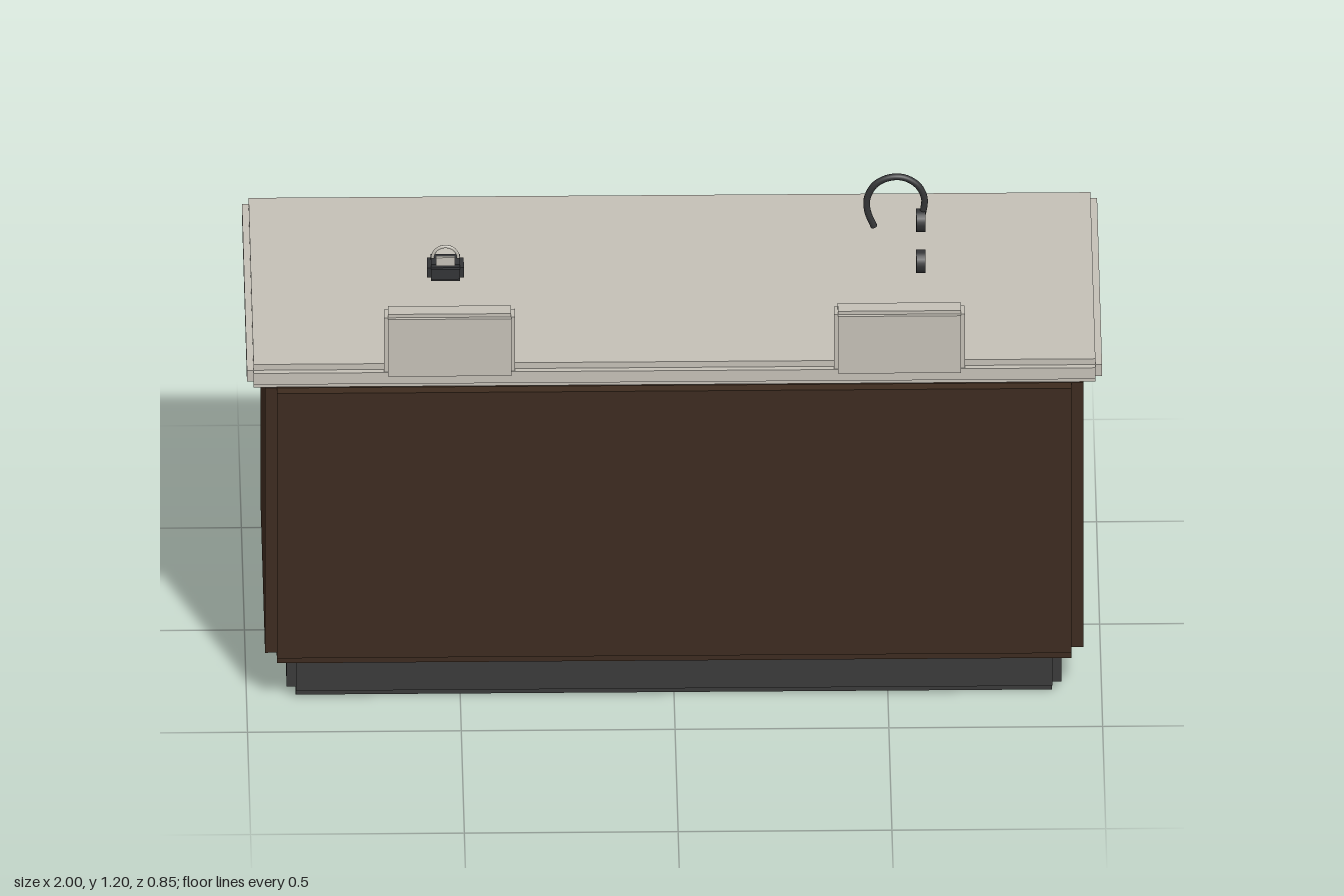
import * as THREE from 'three';

const mat = (name, color) => {
  const m = new THREE.MeshStandardMaterial({ color });
  m.name = name;
  return m;
};

export function createModel() {
  const stone = mat('stone', 0xc4c0b6);
  const wood = mat('darkWood', 0x3d2b1f);
  const plinth = mat('charcoalPlinth', 0x3a3a3a);
  const metal = mat('blackMetal', 0x333436);
  const model = new THREE.Group();
  model.name = 'kitchenIsland';

  const add = (name, geometry, material, x, y, z, parent = model) => {
    const mesh = new THREE.Mesh(geometry, material);
    mesh.name = name;
    mesh.position.set(x, y, z);
    parent.add(mesh);
    return mesh;
  };

  // Block with notched edges: three crossing boxes, each full length on one axis
  const notchedBlock = (name, material, w, [y0, y1], d, step, x = 0, z = -0.003) => {
    const group = new THREE.Group();
    group.name = name;
    group.position.set(x, (y0 + y1) / 2, z);
    const full = [w, y1 - y0, d];
    for (let axis = 0; axis < 3; axis++) {
      const size = full.map((s, i) => (i === axis ? s : s - 2 * step));
      add(name + 'XYZ'[axis], new THREE.BoxGeometry(...size), material, 0, 0, 0, group);
    }
    model.add(group);
  };

  // Plinth, cabinet and worktop
  notchedBlock('plinth', plinth, 1.812, [0, 0.14], 0.684, 0.0215);
  notchedBlock('cabinet', wood, 1.914, [0.106, 0.867], 0.778, 0.028);
  notchedBlock('worktop', stone, 2.0, [0.866, 0.927], 0.845, 0.0155);

  // Upright panels along the front edge
  for (const side of [-1, 1]) {
    notchedBlock(side > 0 ? 'leftPanel' : 'rightPanel', stone,
      0.306, [0.895, 1.065], 0.058, 0.009, side * 0.526, 0.397);
  }

  // Curved faucet spout
  const path = new THREE.CatmullRomCurve3([
    [0.472, 1.063], [0.458, 1.1], [0.456, 1.135], [0.474, 1.172], [0.507, 1.191],
    [0.543, 1.191], [0.575, 1.17], [0.59, 1.137], [0.588, 1.105], [0.581, 1.075],
  ].map(([x, y]) => new THREE.Vector3(x, y, -0.003)));
  add('faucetSpout', new THREE.TubeGeometry(path, 40, 0.008, 10), metal, 0, 0, 0);
  const spoutEnd = add('spoutTip', new THREE.CylinderGeometry(0.008, 0.008, 0.004, 10), metal, 0.472, 1.063, -0.003);
  spoutEnd.rotation.z = 0.35;

  // Round faucet knobs facing sideways
  for (const y of [0.968, 1.077]) {
    const knob = add('faucetKnob', new THREE.CylinderGeometry(0.028, 0.028, 0.022, 20), metal, 0.582, y, -0.003);
    knob.rotation.z = Math.PI / 2;
  }

  // Small countertop fitting with a pale arched handle
  notchedBlock('fittingBody', metal, 0.086, [0.938, 0.982], 0.068, 0.009, -0.53, -0.003);
  add('fittingArch', new THREE.TorusGeometry(0.03, 0.004, 8, 16, Math.PI), stone, -0.53, 0.986, -0.003);
  add('fittingTab', new THREE.BoxGeometry(0.045, 0.022, 0.008), stone, -0.53, 0.993, 0.026);

  return model;
}
